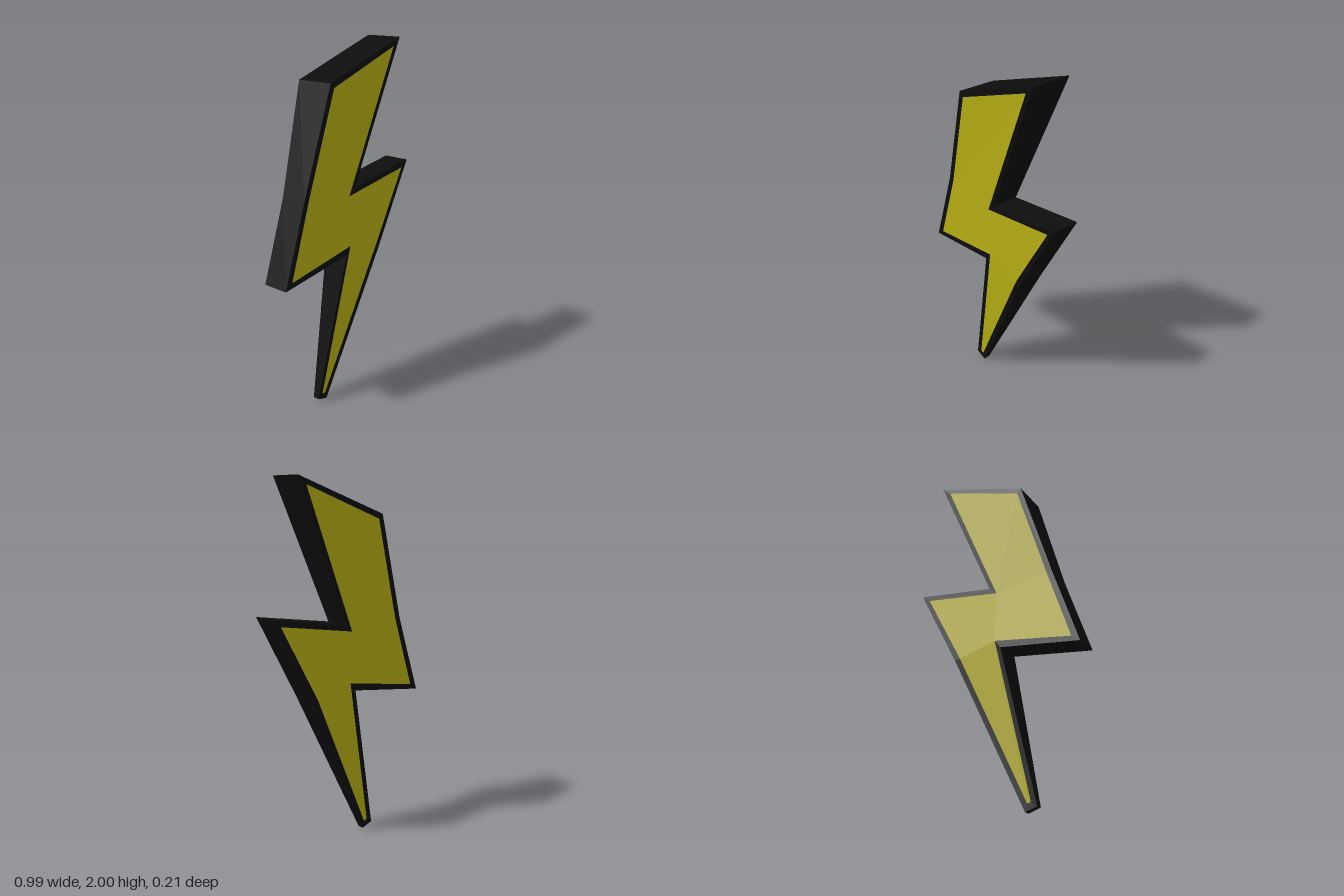
import * as THREE from 'three';

// Matching clockwise outlines: [outer x, outer y, inner x, inner y, half thickness]
const OUTLINE = [
  [-0.19, 1.81, -0.165, 1.785, 0.107], // top left
  [0.355, 2.0, 0.305, 1.955, 0.107],   // top right
  [0.035, 1.235, -0.01, 1.195, 0.075], // right notch
  [0.495, 1.305, 0.447, 1.268, 0.075], // right point
  [0.255, 0.85, 0.222, 0.855, 0.075],  // right bend
  [-0.14, 0.0, -0.152, 0.04, 0.018],   // tip right
  [-0.207, 0.022, -0.172, 0.047, 0.018], // tip left
  [-0.035, 0.865, 0.0, 0.91, 0.075],   // left notch
  [-0.497, 0.8, -0.45, 0.835, 0.075],  // left point
  [-0.355, 1.235, -0.322, 1.235, 0.075], // left bend
];

const outer = (i, side) => [OUTLINE[i][0], OUTLINE[i][1], side * OUTLINE[i][4]];
const inner = (i, side) => [OUTLINE[i][2], OUTLINE[i][3], side * OUTLINE[i][4]];

// Flat-shaded mesh from quads with counter-clockwise corners
function quadMesh(name, quads, color) {
  const positions = quads.flatMap(([a, b, c, d]) => [a, b, c, a, c, d].flat());
  const geometry = new THREE.BufferGeometry();
  geometry.setAttribute('position', new THREE.Float32BufferAttribute(positions, 3));
  geometry.computeVertexNormals();
  const mesh = new THREE.Mesh(geometry, new THREE.MeshStandardMaterial({ color }));
  mesh.name = name;
  return mesh;
}

export function createModel() {
  const group = new THREE.Group();
  group.name = 'lightningBolt';

  // Corners are listed clockwise from the front, so the front is reversed
  const face = (corners, side) => (side > 0 ? corners.reverse() : corners);

  // Black border on both faces and the wall that joins them
  const border = [];
  OUTLINE.forEach((_, i) => {
    const j = (i + 1) % OUTLINE.length;
    for (const s of [1, -1]) {
      border.push(face([outer(i, s), outer(j, s), inner(j, s), inner(i, s)], s));
    }
    border.push([outer(i, 1), outer(j, 1), outer(j, -1), outer(i, -1)]);
  });
  group.add(quadMesh('border', border, 0x0d0d0d));

  // Yellow panels: upper blade, two middle pieces and lower blade
  const pieces = [[0, 1, 2, 9], [9, 2, 7, 8], [2, 3, 4, 7], [7, 4, 5, 6]];
  for (const [name, s] of [['frontPanel', 1], ['backPanel', -1]]) {
    const quads = pieces.map((p) => face(p.map((i) => inner(i, s)), s));
    group.add(quadMesh(name, quads, 0xb5ad14));
  }
  return group;
}
